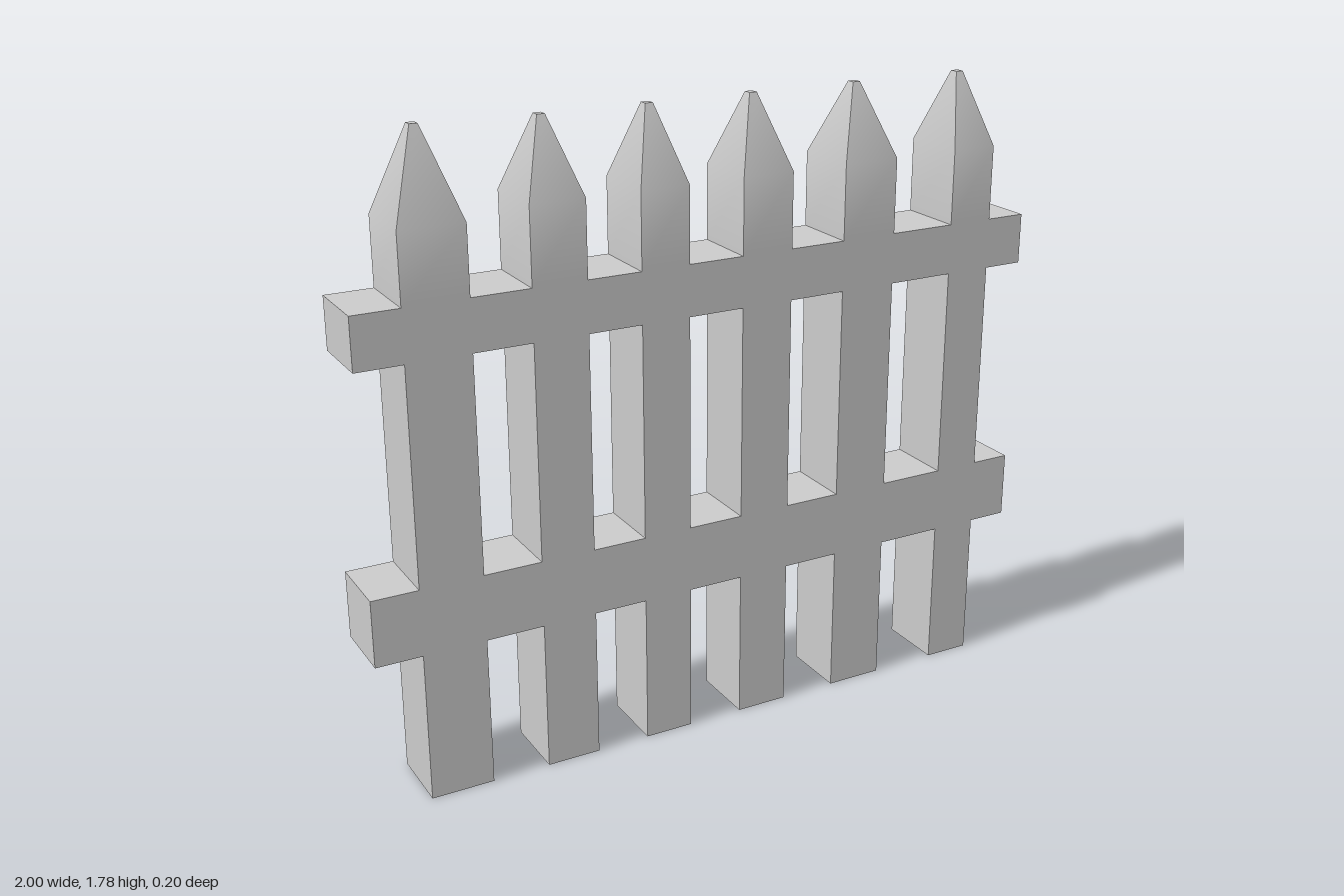
import * as THREE from 'three';
import { toCreasedNormals } from 'three/addons/utils/BufferGeometryUtils.js';

const DEPTH = 0.196;
const RAIL_TOP = 1.365;

// Square post whose upper rows taper to a small blunt tip
function picketGeometry(width, shoulder, tip) {
  const rows = [0, RAIL_TOP, shoulder, tip];
  const geometry = new THREE.BoxGeometry(width, 3, DEPTH, 1, 3, 1);
  const pos = geometry.attributes.position;
  for (let i = 0; i < pos.count; i++) {
    const row = Math.round(pos.getY(i) + 1.5);
    pos.setY(i, rows[row]);
    if (row === 3) {
      pos.setX(i, Math.sign(pos.getX(i)) * 0.011);
      pos.setZ(i, Math.sign(pos.getZ(i)) * 0.012);
    }
  }
  // Soft shoulder, sharp corners
  return toCreasedNormals(geometry, 0.6);
}

export function createModel() {
  const fence = new THREE.Group();
  fence.name = 'picketFence';
  const material = new THREE.MeshStandardMaterial({ color: 0xcccccc });

  // Pickets of uneven width: left edge, right edge, shoulder height, tip height
  const pickets = [
    [-0.87, -0.693, 1.553, 1.784],
    [-0.53, -0.377, 1.575, 1.776],
    [-0.225, -0.085, 1.575, 1.776],
    [0.075, 0.226, 1.575, 1.776],
    [0.391, 0.556, 1.575, 1.776],
    [0.75, 0.884, 1.575, 1.776],
  ];
  pickets.forEach(([x0, x1, shoulder, tip], i) => {
    const picket = new THREE.Mesh(picketGeometry(x1 - x0, shoulder, tip), material);
    picket.name = `picket${i + 1}`;
    picket.position.x = (x0 + x1) / 2;
    fence.add(picket);
  });

  // Two rails, flush with the pickets front and back
  const rails = [['lowerRail', 0.428, 0.617], ['upperRail', 1.222, RAIL_TOP]];
  for (const [name, y0, y1] of rails) {
    const rail = new THREE.Mesh(new THREE.BoxGeometry(2, y1 - y0, DEPTH), material);
    rail.name = name;
    rail.position.y = (y0 + y1) / 2;
    fence.add(rail);
  }
  return fence;
}
